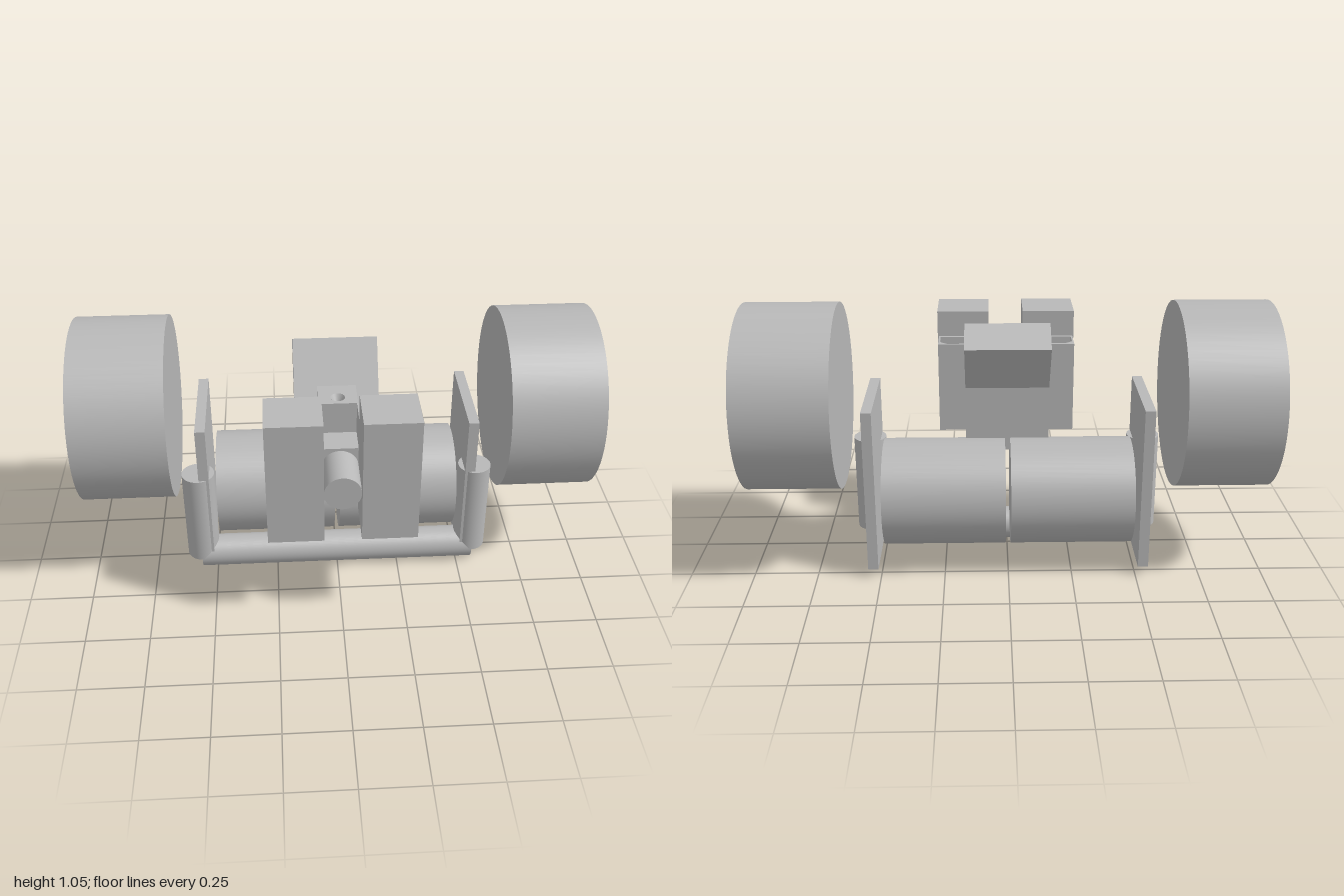
import * as THREE from 'three';

const grey = new THREE.MeshStandardMaterial({ color: 0xb8b8b8, side: THREE.DoubleSide });
grey.name = 'plain grey';

export function createModel() {
  const model = new THREE.Group();
  model.name = 'wheeledRobot';

  const add = (name, geometry, x = 0, y = 0, z = 0) => {
    const mesh = new THREE.Mesh(geometry, grey);
    mesh.name = name;
    mesh.position.set(x, y, z);
    model.add(mesh);
    return mesh;
  };
  // box given by its lower and upper limits on each axis
  const box = (name, [x0, x1], [y0, y1], [z0, z1]) =>
    add(name, new THREE.BoxGeometry(x1 - x0, y1 - y0, z1 - z0), (x0 + x1) / 2, (y0 + y1) / 2, (z0 + z1) / 2);
  const cylinder = (r, length, axis) => {
    const g = new THREE.CylinderGeometry(r, r, length, 64);
    if (axis === 'x') g.rotateZ(Math.PI / 2);
    if (axis === 'z') g.rotateX(Math.PI / 2);
    return g;
  };
  const outline = (points) => new THREE.Shape(points.map(([a, b]) => new THREE.Vector2(a, b)));
  // upright prism from an (x, -z) plan
  const prism = (shape, height) =>
    new THREE.ExtrudeGeometry(shape, { depth: height, bevelEnabled: false, curveSegments: 24 }).rotateX(-Math.PI / 2);

  for (const s of [-1, 1]) {
    const side = s > 0 ? 'left' : 'right';
    const span = (a, b) => (s > 0 ? [a, b] : [-b, -a]);

    // running gear and frame
    add(side + 'Wheel', cylinder(0.36, 0.36, 'x'), s * 0.82, 0.69, -0.09);
    box(side + 'SidePlate', span(0.51, 0.55), [0.035, 0.69], [-0.29, 0.11]);
    add(side + 'FramePost', cylinder(0.065, 0.395), s * 0.555, 0.2625, 0.055);
    add(side + 'Drum', cylinder(0.21, 0.475, 'x'), s * 0.2475, 0.295, -0.118);

    // front pod with its hollow bracket
    box(side + 'Pod', span(0.07, 0.28), [0.415, 0.925], [0.255, 0.45]);
    const bracket = outline([[0.07, -0.255], [0.275, -0.255], [0.275, -0.14], [0.07, -0.14]].map(([x, y]) => [s * x, y]));
    bracket.holes.push(outline([
      [0.085, -0.243], [0.268, -0.243], [0.268, -0.175], [0.24, -0.15], [0.115, -0.15], [0.085, -0.175],
    ].map(([x, y]) => [s * x, y])));
    add(side + 'PodBracket', prism(bracket, 0.37), 0, 0.45, 0);
  }

  add('lowerFrameBar', cylinder(0.065, 1.12, 'x'), 0, 0.065, 0.055);

  // central mount with a small conical socket on top
  const mount = outline([[-0.075, -0.14], [0.075, -0.14], [0.075, -0.01], [-0.075, -0.01]]);
  const socket = new THREE.Path();
  socket.absarc(0, -0.095, 0.028, 0, Math.PI * 2, true);
  mount.holes.push(socket);
  add('centralMount', prism(mount, 0.37), 0, 0.45, 0);
  add('mountSocket', new THREE.ConeGeometry(0.028, 0.05, 24, 1, true).rotateX(Math.PI), 0, 0.795, 0.095);

  box('mountBridge', [-0.075, 0.075], [0.45, 0.69], [0.14, 0.25]);
  add('frontBarrel', cylinder(0.07, 0.18, 'z'), 0, 0.61, 0.335);

  // upright block and its panel leaning backwards, as (z, y) profiles
  const slab = (name, points) => {
    const g = new THREE.ExtrudeGeometry(outline(points), { depth: 0.326, bevelEnabled: false });
    return add(name, g.rotateY(-Math.PI / 2), 0.163);
  };
  slab('backPanel', [
    [-0.2, 0.904], [-0.075, 0.71], [-0.075, 0.45], [0.085, 0.45], [0.085, 0.735], [0.065, 0.735], [-0.09, 0.975],
  ]);

  return model;
}
